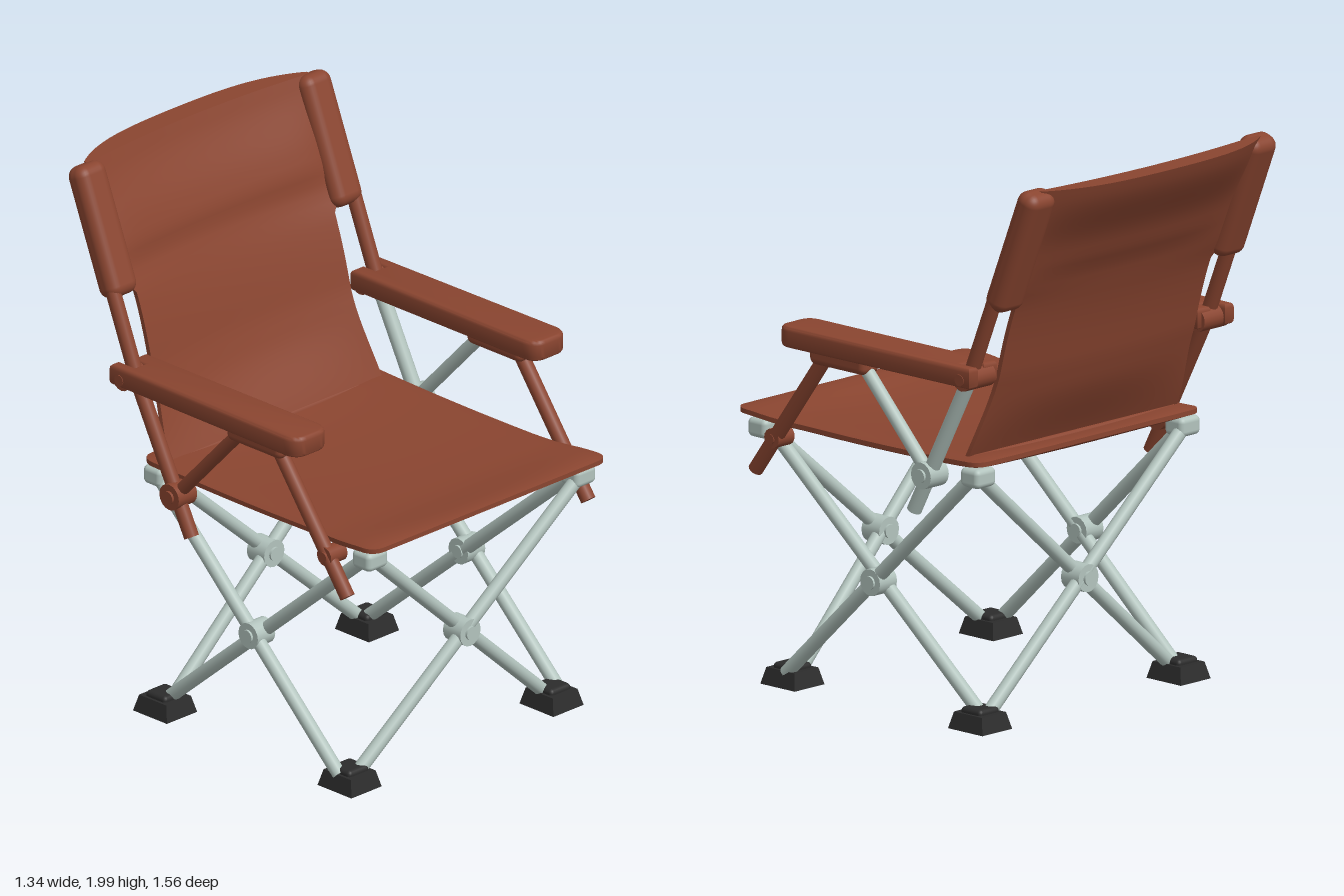
import * as THREE from 'three';
import { toCreasedNormals } from 'three/addons/utils/BufferGeometryUtils.js';
import { RoundedBoxGeometry } from 'three/addons/geometries/RoundedBoxGeometry.js';

const mat = (name, color) => {
  const m = new THREE.MeshStandardMaterial({ color });
  m.name = name;
  return m;
};
const V = (x, y, z) => new THREE.Vector3(x, y, z);
const smooth = THREE.MathUtils.smoothstep;

export function createModel() {
  const red = mat('russet', 0x8a4530);
  const steel = mat('paleSteel', 0xb3c4be);
  const rubber = mat('darkRubber', 0x2c2c2c);
  const chair = new THREE.Group();
  chair.name = 'foldingChair';

  const add = (name, geo, material, pos) => {
    const m = new THREE.Mesh(geo, material);
    m.name = name;
    if (pos) m.position.copy(pos);
    chair.add(m);
    return m;
  };
  // round tube between two points
  const rod = (name, a, b, r, material) => {
    const d = b.clone().sub(a);
    const m = add(name, new THREE.CylinderGeometry(r, r, d.length(), 16), material, a.clone().add(b).multiplyScalar(0.5));
    m.quaternion.setFromUnitVectors(V(0, 1, 0), d.normalize());
    return m;
  };
  // pivot: barrel with a smaller bolt head at both ends
  const pivot = (name, p, axis, r, len, material) => {
    const half = axis.clone().multiplyScalar(len / 2);
    rod(name, p.clone().sub(half), p.clone().add(half), r, material);
    half.multiplyScalar(1.2);
    rod(name + 'Bolt', p.clone().sub(half), p.clone().add(half), r * 0.5, material);
  };
  // closed cloth slab from an upper and a lower surface; s and t run from -1 to 1
  const slab = (top, bottom, nu, nv) => {
    const pos = [], idx = [], ring = 2 * (nu + 1);
    const ease = k => Math.sin((k - 0.5) * Math.PI);
    for (let j = 0; j <= nv; j++) {
      const t = ease(j / nv);
      for (let i = 0; i <= nu; i++) pos.push(...top(ease(i / nu), t));
      for (let i = nu; i >= 0; i--) pos.push(...bottom(ease(i / nu), t));
    }
    for (let j = 0; j < nv; j++) for (let i = 0; i < ring; i++) {
      const a = j * ring + i, b = j * ring + (i + 1) % ring;
      idx.push(a, b, b + ring, a, b + ring, a + ring);
    }
    for (let i = 0; i < nu; i++) {
      const a = i, b = i + 1, c = ring - 2 - i, d = ring - 1 - i, o = nv * ring;
      idx.push(a, d, c, a, c, b, o + a, o + b, o + c, o + a, o + c, o + d);
    }
    const g = new THREE.BufferGeometry();
    g.setAttribute('position', new THREE.Float32BufferAttribute(pos, 3));
    g.setIndex(idx);
    return toCreasedNormals(g, 0.9);
  };

  // seat: sagging cloth with rounded corners and soft rims
  const seatPoint = side => (s, t) => {
    const z = 0.17 - 0.58 * t, d = Math.min(0.05, 0.58 * (1 - Math.abs(t)));
    const corner = 0.05 - Math.sqrt(Math.max(0, 0.0025 - (0.05 - d) ** 2));
    const w = 0.56 + 0.018 * smooth(z, 0.4, 0.65) - corner;
    const mid = 0.958 - 0.03 * (1 - s * s) * (1 - t ** 4) - 0.012 * (1 - t * t) + 0.008 * smooth(z, 0.5, 0.7);
    const h = 0.024 * (0.35 + 0.65 * (1 - s ** 16) * (1 - t ** 16));
    return [s * w, mid + side * h, z];
  };
  add('seat', slab(seatPoint(1), seatPoint(-1), 28, 32), red);

  // backrest: leaning cloth, bowed backward, with a padded head section
  const postZ = y => y < 1.28 ? -0.13 - (y - 0.76) * 0.52 : -0.4 - (y - 1.28) * 0.4;
  const backPoint = front => (s, t) => {
    const y = 1.468 + 0.522 * t;
    const w = 0.485 + 0.035 * (1 - smooth(y, 0.94, 1.25)) + 0.06 * smooth(y, 1.53, 1.62);
    const pad = smooth(y, 1.62, 1.7), full = 1 - s ** 4;
    let z = postZ(y) - 0.07 * (1 - smooth(y, 0.9, 1.54)) - 0.035 * (1 - s * s) * smooth(y, 0.95, 1.2);
    z += 0.02 * pad * (1 - s ** 8) * (1 - smooth(y, 1.75, 1.95));
    if (!front) z -= 0.018 + full * (0.035 * pad + 0.035 * smooth(y, 1.7, 1.98));
    return [s * w, y, z];
  };
  add('backrest', slab(backPoint(true), backPoint(false), 28, 48), red);
  rod('backrestLowerHem', V(-0.5, 0.955, -0.32), V(0.5, 0.955, -0.32), 0.02, red);

  const X = V(1, 0, 0), Z = V(0, 0, 1);
  for (const s of [-1, 1]) {
    const brace = s > 0 ? steel : red;
    const p = (x, y, z) => V(s * x, y, z);

    // back posts and the cloth sleeves over them
    rod('lowerBackPost', p(0.59, 0.76, -0.13), p(0.59, 1.28, -0.4), 0.027, brace);
    rod('upperBackPost', p(0.59, 1.26, -0.39), p(0.59, 1.95, -0.668), 0.027, red);
    const sleeve = add('backSleeve', new RoundedBoxGeometry(0.135, 0.48, 0.095, 4, 0.04), red, p(0.552, 1.765, -0.605));
    sleeve.rotation.x = -Math.atan(0.4);

    // armrest outline, notched at the rear around the post
    const o = new THREE.Shape();
    o.moveTo(s * 0.512, 0.43);
    o.lineTo(s * 0.512, -0.4);
    o.quadraticCurveTo(s * 0.512, -0.45, s * 0.555, -0.45);
    o.lineTo(s * 0.615, -0.45);
    o.quadraticCurveTo(s * 0.658, -0.45, s * 0.658, -0.4);
    o.lineTo(s * 0.648, 0.45);
    o.lineTo(s * 0.627, 0.45);
    o.lineTo(s * 0.627, 0.37);
    o.lineTo(s * 0.553, 0.37);
    o.lineTo(s * 0.553, 0.43);
    const arm = new THREE.ExtrudeGeometry(o, {
      depth: 0.044, bevelThickness: 0.016, bevelSize: 0.012, bevelSegments: 3, curveSegments: 8,
    });
    arm.rotateX(-Math.PI / 2);
    add('armrest', toCreasedNormals(arm, 0.7), red, V(0, 1.273, 0));
    add('armrestBracket', new RoundedBoxGeometry(0.09, 0.07, 0.27, 3, 0.025), red, p(0.588, 1.24, 0.21));
    pivot('armrestPivot', p(0.585, 1.285, -0.415), X, 0.042, 0.13, red);

    // armrest struts
    rod('frontArmStrut', p(0.59, 1.24, 0.29), p(0.59, 0.77, 0.635), 0.027, red);
    rod('rearArmStrut', p(0.59, 1.23, 0.11), p(0.59, 0.88, -0.22), 0.024, brace);
    pivot('armStrutPivot', p(0.585, 0.9, -0.2), X, 0.048, 0.09, brace);
    pivot('frontStrutPivot', p(0.57, 0.9, 0.54), X, 0.035, 0.08, red);

    // crossed side legs
    rod('sideLeg', p(0.535, 0.05, 0.54), p(0.53, 0.91, -0.36), 0.025, steel);
    rod('sideLeg', p(0.485, 0.05, -0.35), p(0.5, 0.91, 0.66), 0.025, steel);
    pivot('sideLegPivot', p(0.515, 0.45, 0.115), X, 0.048, 0.085, steel);

    // rubber feet and upper corner sockets
    for (const [footZ, topZ] of [[0.55, 0.665], [-0.355, -0.36]]) {
      const foot = new THREE.CylinderGeometry(0.085, 0.105, 0.06, 4, 1);
      foot.rotateY(Math.PI / 4);
      foot.scale(1, 1, 1.12);
      add('foot', toCreasedNormals(foot, 0.5), rubber, p(0.495, 0.03, footZ));
      add('footSocket', new RoundedBoxGeometry(0.1, 0.05, 0.1, 2, 0.015), rubber, p(0.495, 0.055, footZ));
      add('cornerSocket', new RoundedBoxGeometry(0.1, 0.07, 0.09, 3, 0.02), steel, p(0.51, 0.905, topZ));
    }

    // crossed front and rear legs
    const off = s * 0.018;
    rod('frontLeg', p(-0.475, 0.05, 0.55 + off), p(0.505, 0.91, 0.665 + off), 0.025, steel);
    rod('rearLeg', p(-0.475, 0.05, -0.355 + off), p(0.505, 0.91, -0.36 + off), 0.025, steel);
  }
  pivot('frontLegPivot', V(0, 0.455, 0.605), Z, 0.05, 0.085, steel);
  pivot('rearLegPivot', V(0, 0.455, -0.357), Z, 0.05, 0.085, steel);

  return chair;
}
